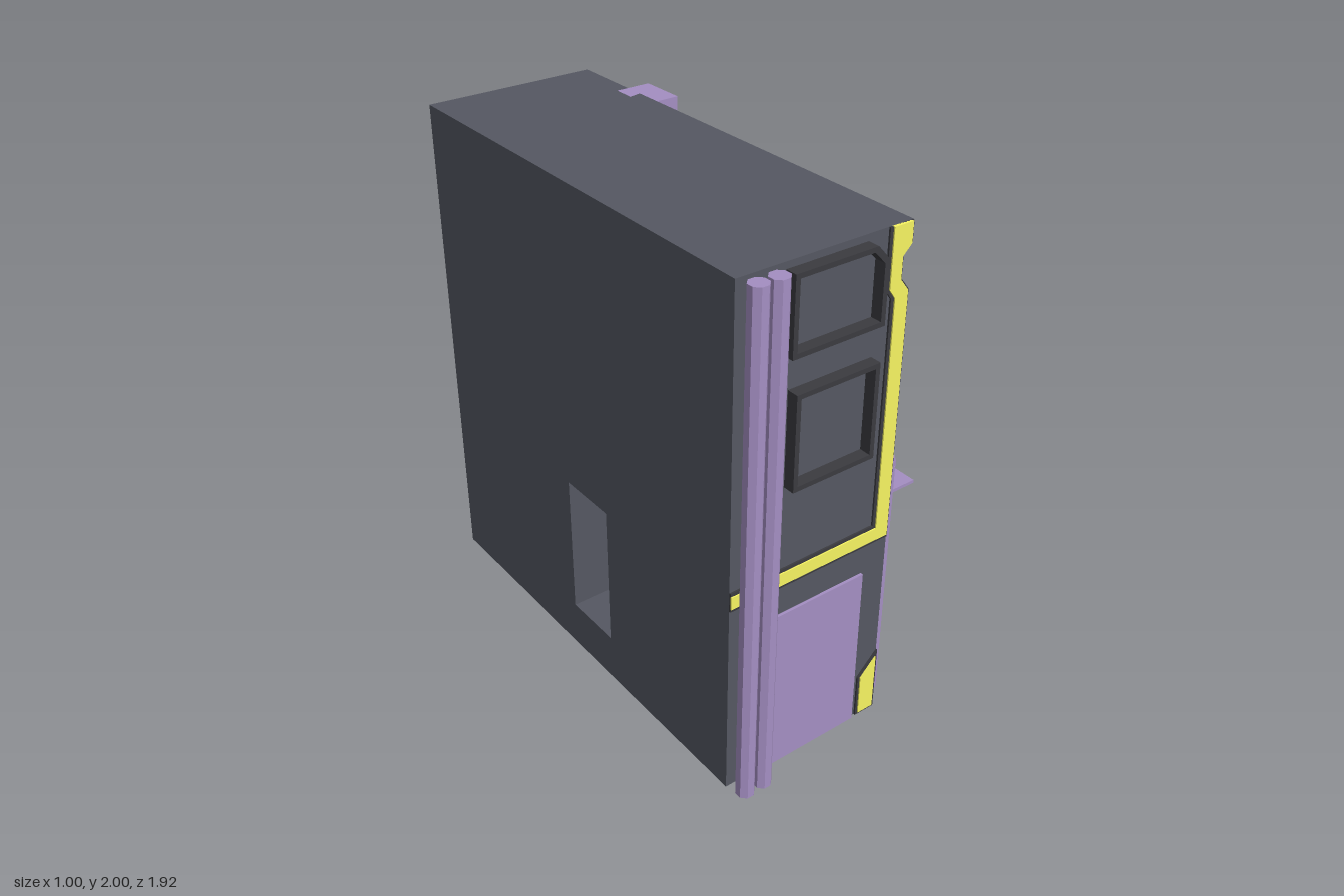
import * as THREE from 'three';

const mat = (color) => new THREE.MeshStandardMaterial({ color, flatShading: true });
const WALL = mat(0x555862), DARK = mat(0x3b3b40), PURPLE = mat(0xa58fc3),
  YELLOW = mat(0xf8f562), GREY = mat(0xcccccc);

export function createModel() {
  const root = new THREE.Group();
  const add = (name, geo, material) => {
    const mesh = new THREE.Mesh(geo, material);
    mesh.name = name;
    root.add(mesh);
    return mesh;
  };
  const toShape = (pts, hole) => {
    const s = new THREE.Shape(pts.map(([a, b]) => new THREE.Vector2(a, b)));
    if (hole) s.holes.push(new THREE.Path(hole.map(([a, b]) => new THREE.Vector2(a, b))));
    return s;
  };
  const extrude = (pts, depth, hole) =>
    new THREE.ExtrudeGeometry(toShape(pts, hole), { depth, bevelEnabled: false });

  // [x, y] outline running from z0 to z1
  const alongZ = (name, pts, z0, z1, m, hole) =>
    add(name, extrude(pts, z1 - z0, hole).translate(0, 0, z0), m);
  // [z, y] outline running from x0 to x1
  const alongX = (name, pts, x0, x1, m, hole) => {
    const flip = (p) => p.map(([z, y]) => [-z, y]);
    return add(name, extrude(flip(pts), x1 - x0, hole && flip(hole)).rotateY(Math.PI / 2).translate(x0, 0, 0), m);
  };
  const rect = (a0, a1, b0, b1) => [[a0, b0], [a1, b0], [a1, b1], [a0, b1]];
  const box = (name, x0, x1, y0, y1, z0, z1, m) => alongZ(name, rect(x0, x1, y0, y1), z0, z1, m);
  // outline pulled in by a margin
  const inset = (pts, d) => {
    const mid = [0, 1].map((k) => {
      const v = pts.map((p) => p[k]);
      return [(Math.min(...v) + Math.max(...v)) / 2, (Math.max(...v) - Math.min(...v)) / 2];
    });
    return pts.map((p) => p.map((v, k) => mid[k][0] + (v - mid[k][0]) * (1 - d / mid[k][1])));
  };

  // Building shell, in slices along z, with a grooved cornice
  const cornice = [[0.2, 1.75], [0.16, 1.79], [0.16, 1.88], [0.2, 1.92], [0.2, 2], [-0.5, 2]];
  const base = [[-0.5, 0], [0.32, 0]];
  alongZ('rearBody', [...base, [0.32, 0.775], [0.2, 0.775], ...cornice], -0.96, -0.1, WALL);
  alongZ('passageFloor', [...base, [0.32, 0.19], [-0.5, 0.19]], -0.1, 0.15, WALL);
  alongZ('passageRoof', [[-0.5, 0.775], [0.2, 0.775], ...cornice], -0.1, 0.15, WALL);
  const alcove = [...base, [0.32, 0.19], [0.2, 0.19], ...cornice];
  alongZ('alcoveWall', alcove, 0.15, 0.17, WALL);
  alongZ('alcoveRecess', [...base, [0.32, 0.19], [0.18, 0.19], [0.18, 0.76], [0.2, 0.76], ...cornice], 0.17, 0.66, WALL);
  alongZ('alcoveEnd', alcove, 0.66, 0.68, WALL);
  alongZ('frontBody', [[-0.5, 0], [0.2, 0], ...cornice], 0.68, 0.87, WALL);

  // Light strips on the two cornice slopes, interrupted by the duct
  for (const [z0, z1] of [[-0.46, 0.86], [-0.95, -0.69]]) {
    for (const up of [1, -1]) {
      const y = (h) => 1.835 + up * h;
      const strip = (a, b, n) => [[0.16 + a, y(0.045 + a)], [0.16 + b, y(0.045 + b)],
        [0.16 + b + n, y(0.045 + b - n)], [0.16 + a + n, y(0.045 + a - n)]];
      alongZ('stripHousing', strip(0, 0.038, 0.004), z0 - 0.005, z1 + 0.005, DARK);
      alongZ('lightStrip', strip(0.009, 0.031, 0.008), z0, z1, YELLOW);
    }
  }

  // Front trim, door and corner marker
  const trim = (m) => [[-0.5, 0.81 - m], [0.19 + m / 2, 0.81 - m], [0.19 + m / 2, 1.765], [0.155 + m / 2, 1.81],
    [0.155 + m / 2, 1.89], [0.19 + m / 2, 1.925], [0.19 + m / 2, 2], [0.11 - m, 2],
    [0.11 - m, 1.785], [0.135 - m, 1.75], [0.135 - m, 0.86 + m], [-0.5, 0.86 + m]];
  alongZ('trimBorder', trim(0.013), 0.87, 0.877, DARK);
  alongZ('frontTrim', trim(0), 0.87, 0.882, YELLOW);
  const marker = [[0.12, 0.01], [0.19, 0.01], [0.19, 0.25], [0.12, 0.18]];
  alongZ('markerBorder', [[0.11, 0], [0.2, 0], [0.2, 0.275], [0.11, 0.185]], 0.87, 0.877, DARK);
  alongZ('cornerMarker', marker, 0.87, 0.882, YELLOW);
  box('frontDoor', -0.34, 0.09, 0, 0.68, 0.87, 0.881, PURPLE);

  // Window frames on the front and on the side
  const frontFrames = [
    [[-0.31, 1.69], [0.065, 1.69], [0.065, 1.92], [0.015, 1.975], [-0.31, 1.975]],
    rect(-0.285, 0.06, 1.2, 1.56),
  ];
  for (const f of frontFrames) alongZ('frontWindowFrame', f, 0.87, 0.915, DARK, inset(f, 0.018));
  const sideFrames = [
    rect(0.47, 0.81, 1.27, 1.41),
    [[0.44, 1.13], [0.16, 1.13], [0.11, 1.18], [0.11, 1.41], [0.44, 1.41]],
  ];
  for (const f of sideFrames) alongX('sideWindowFrame', f, 0.2, 0.225, DARK, inset(f, 0.015));

  // Flat panels on the side wall
  alongX('upperPanel', rect(0.09, 0.81, 1.43, 1.7), 0.2, 0.213, PURPLE);
  alongX('middlePanel', rect(0.11, 0.68, 0.86, 1.1), 0.2, 0.213, PURPLE);
  alongX('signPanel', rect(-0.26, -0.01, 1.1, 1.7), 0.2, 0.211, PURPLE);
  for (const [z0, y0, y1] of [[-0.25, 1.465, 1.69], [-0.16, 1.375, 1.44], [-0.16, 1.2, 1.36], [-0.16, 1.12, 1.18]])
    alongX('signBlock', rect(z0, -0.1, y0, y1), 0.2, 0.228, YELLOW);
  alongX('wallBracket', [[-0.1, 0.82], [-0.13, 0.82], [-0.13, 0.965], [-0.155, 0.965], [-0.175, 0.945], [-0.24, 0.945],
    [-0.24, 1.015], [-0.175, 1.015], [-0.155, 0.995], [-0.13, 0.995], [-0.13, 1.055], [-0.1, 1.055]], 0.2, 0.225, YELLOW);

  // Counter canopy and alcove fittings
  box('canopy', 0.23, 0.5, 0.802, 0.815, -0.065, 0.7, PURPLE);
  alongX('alcoveShutter', [[0.66, 0.54], [0.17, 0.585], [0.17, 0.76], [0.66, 0.76]], 0.18, 0.205, PURPLE);
  box('shutterHandle', 0.18, 0.22, 0.545, 0.565, 0.39, 0.45, DARK);
  box('alcoveShelf', 0.18, 0.28, 0.38, 0.4, 0.17, 0.66, WALL);
  alongX('lowerPanel', [[-0.13, 0.295], [-0.255, 0.295], [-0.255, 0.475], [-0.32, 0.54], [-0.405, 0.54],
    [-0.405, 0.75], [-0.13, 0.75]], 0.32, 0.335, PURPLE);

  // Duct that follows the cornice groove, with an offset lower run
  alongZ('upperDuct', [[0.15, 1.365], [0.295, 1.365], [0.295, 1.74], [0.245, 1.79], [0.245, 1.88],
    [0.295, 1.925], [0.295, 2], [0.15, 2]], -0.675, -0.485, PURPLE);
  box('lowerDuct', 0.2, 0.295, 0.775, 1.54, -0.55, -0.36, PURPLE);

  // Wall unit on a backing plate
  box('unitPlate', 0.2, 0.212, 0.785, 0.965, -0.89, -0.625, PURPLE);
  box('wallUnit', 0.2, 0.375, 0.8, 0.955, -0.875, -0.645, GREY);

  // Eight-sided pipes
  const R = 0.0355;
  const pipe = (name, x, z, h) =>
    add(name, new THREE.CylinderGeometry(R, R, h, 8).rotateY(Math.PI / 8).translate(x, h / 2, z), PURPLE);
  pipe('frontPipe', -0.46, 0.927, 2);
  pipe('frontPipe', -0.383, 0.927, 2);
  pipe('sidePipe', 0.266, 0.777, 1.02);
  const bend = new THREE.QuadraticBezierCurve3(new THREE.Vector3(0.19, 1.085, 0.777),
    new THREE.Vector3(0.266, 1.085, 0.777), new THREE.Vector3(0.266, 1.015, 0.777));
  add('pipeElbow', new THREE.TubeGeometry(bend, 6, R, 8), PURPLE);
  const flange = rect(0.727, 0.832, 1.025, 1.13);
  alongX('pipeFlange', flange, 0.2, 0.215, PURPLE, inset(flange, 0.012));

  return root;
}
